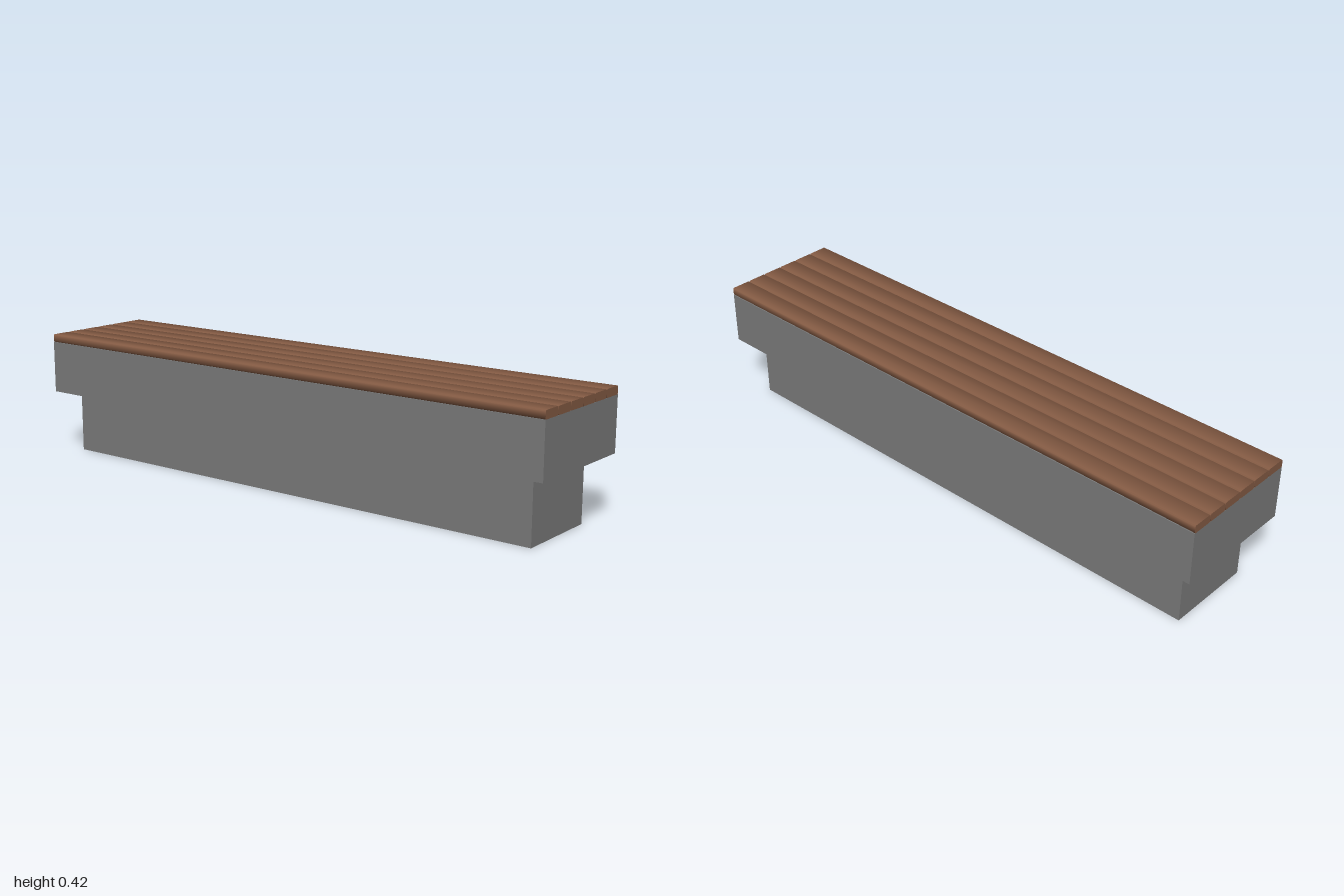
import * as THREE from 'three';
import { toCreasedNormals } from 'three/addons/utils/BufferGeometryUtils.js';

export function createModel() {
  const concrete = new THREE.MeshStandardMaterial({ color: 0x7a7a7a });
  concrete.name = 'concrete grey';
  const wood = new THREE.MeshStandardMaterial({ color: 0x835a43 });
  wood.name = 'wood brown';

  const bench = new THREE.Group();
  bench.name = 'bench';
  bench.rotation.y = 0.0328; // the bench stands slightly askew

  // Concrete blocks
  const addBlock = (name, length, depth, bottom, top) => {
    const mesh = new THREE.Mesh(new THREE.BoxGeometry(length, top - bottom, depth), concrete);
    mesh.name = name;
    mesh.position.y = (bottom + top) / 2;
    bench.add(mesh);
    return mesh;
  };
  addBlock('base', 1.854, 0.3, 0, 0.217).position.z = 0.0015;
  addBlock('seatBlock', 1.986, 0.43, 0.217, 0.397);

  // Planks with softly bevelled long edges
  const length = 1.986, pitch = 0.43 / 6, w = (pitch - 0.001) / 2, h = 0.027, c = 0.003;
  const section = new THREE.Shape([
    [-w + c, 0], [w - c, 0], [w, c], [w, h - c],
    [w - c, h], [-w + c, h], [-w, h - c], [-w, c],
  ].map(([x, y]) => new THREE.Vector2(x, y)));
  const plank = toCreasedNormals(
    new THREE.ExtrudeGeometry(section, { depth: length, bevelEnabled: false })
      .translate(0, 0, -length / 2).rotateY(Math.PI / 2), Math.PI / 3);

  for (let i = 0; i < 6; i++) {
    const mesh = new THREE.Mesh(plank, wood);
    mesh.name = 'seatPlank' + (i + 1);
    mesh.position.set(0, 0.397, (i - 2.5) * pitch);
    bench.add(mesh);
  }

  const model = new THREE.Group();
  model.name = 'benchModel';
  model.add(bench);
  return model;
}
